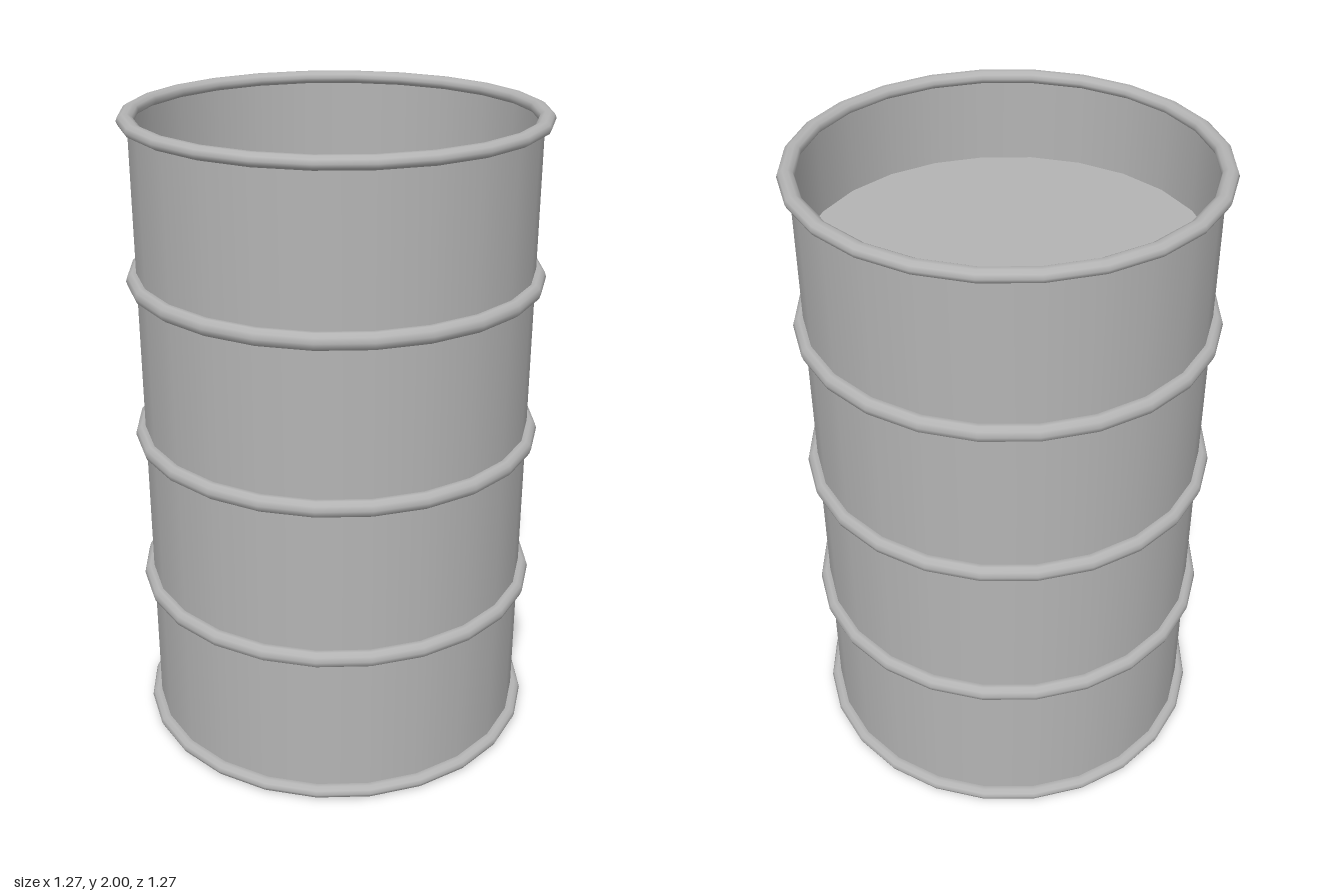
import * as THREE from 'three';

const SIDES = 24;

export function createModel() {
  const drum = new THREE.Group();
  drum.name = 'drum';

  const steel = new THREE.MeshStandardMaterial({ color: 0xb4b4b4, side: THREE.DoubleSide });
  steel.name = 'grey steel';

  const add = (name, geometry, y) => {
    const mesh = new THREE.Mesh(geometry, steel);
    mesh.name = name;
    mesh.position.y = y;
    drum.add(mesh);
    return mesh;
  };

  // Open shell wall
  add('wall', new THREE.CylinderGeometry(0.605, 0.605, 1.96, SIDES, 1, true), 1);

  // Recessed lid and base plates
  const plate = (name, y, facing) =>
    add(name, new THREE.CircleGeometry(0.604, SIDES).rotateX(-facing * Math.PI / 2), y);
  plate('lid', 1.71, 1);
  plate('base', 0.06, -1);

  // Rolled hoops round the body, flatter rims at both ends
  const hoop = (name, y, halfHeight) => {
    const geometry = new THREE.TorusGeometry(0.611, 0.025, 10, SIDES).rotateX(Math.PI / 2);
    add(name, geometry.scale(1, halfHeight / 0.025, 1), y);
  };
  for (const y of [0.5, 1, 1.5]) hoop('hoop', y + 0.004, 0.026);
  hoop('topRim', 1.981, 0.02);
  hoop('bottomRim', 0.02, 0.02);

  return drum;
}
